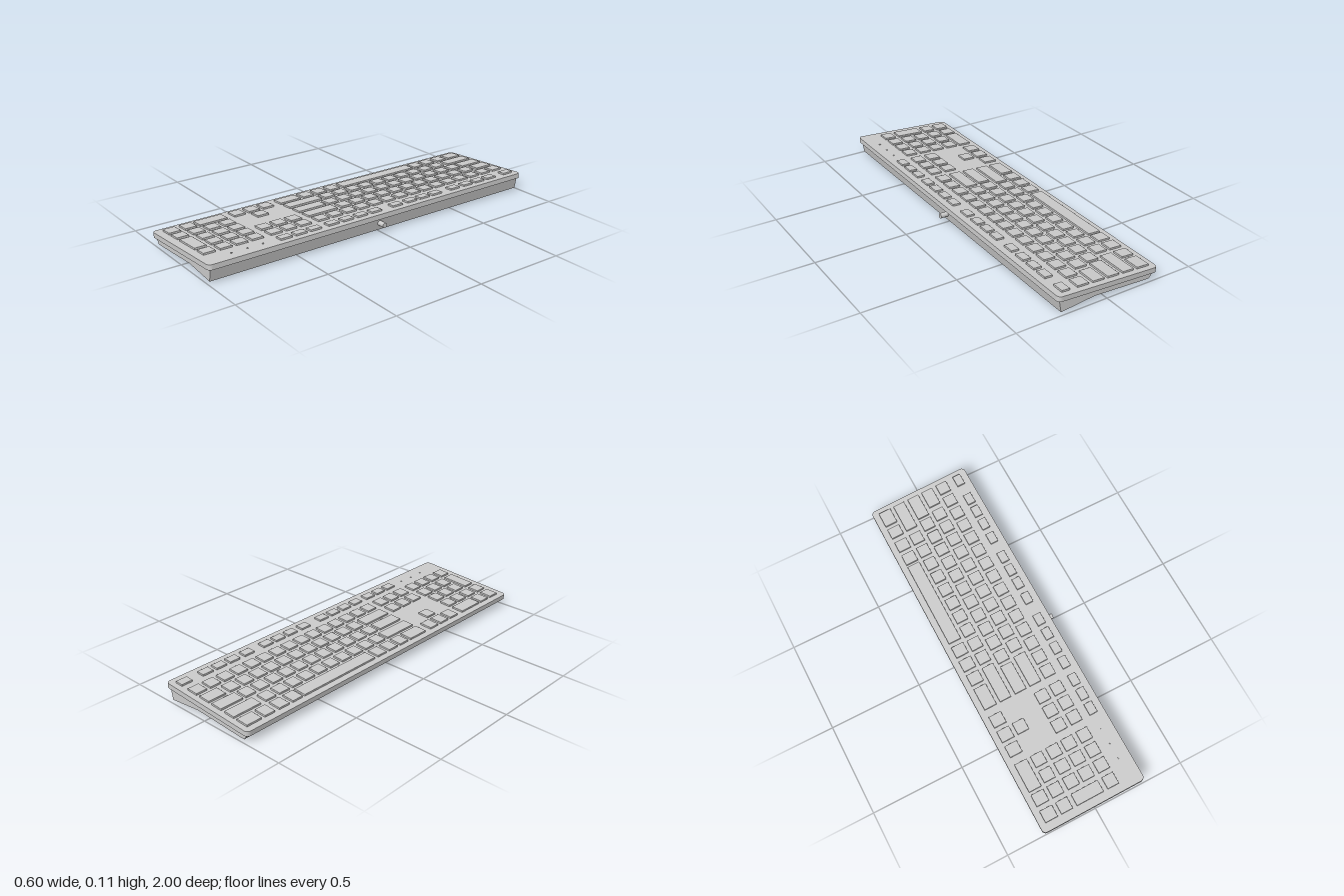
import * as THREE from 'three';
import { RoundedBoxGeometry } from 'three/addons/geometries/RoundedBoxGeometry.js';

const material = new THREE.MeshStandardMaterial({ color: 0xcccccc });
const TILT = 0.061;
const LENGTH = 0.576; // depth of the tilted plate along x

function add(parent, name, geometry, x = 0, y = 0, z = 0) {
  const mesh = new THREE.Mesh(geometry, material);
  mesh.name = name;
  mesh.position.set(x, y, z);
  parent.add(mesh);
  return mesh;
}

// Rounded rectangle outline running from x = 0 to w, centred on y
function roundedRect(w, h, r) {
  const s = new THREE.Shape();
  s.absarc(w - r, h / 2 - r, r, 0, Math.PI / 2);
  s.absarc(r, h / 2 - r, r, Math.PI / 2, Math.PI);
  s.absarc(r, -h / 2 + r, r, Math.PI, Math.PI * 1.5);
  s.absarc(w - r, -h / 2 + r, r, Math.PI * 1.5, Math.PI * 2);
  return s;
}

// A run of equal keys as [start, end] pairs along z
const run = (start, count, step = 0.087, size = 0.065) =>
  Array.from({ length: count }, (_, i) => [start + i * step, start + i * step + size]);

export function createModel() {
  const model = new THREE.Group();
  model.name = 'keyboard';

  // Lower case: arched side profile extruded along z
  const profile = new THREE.Shape([
    [-0.286, 0.042], [-0.26, 0.008], [0.06, 0.027], [0.25, 0.008], [0.263, 0.082], [-0.284, 0.048],
  ].map(([x, y]) => new THREE.Vector2(x, y)));
  const baseGeometry = new THREE.ExtrudeGeometry(profile, { depth: 1.972, bevelEnabled: false });
  add(model, 'lowerCase', baseGeometry, 0, 0, -0.986);

  // Tilted upper assembly; its local y = 0 is the plate's top surface
  const upper = new THREE.Group();
  upper.name = 'upperAssembly';
  upper.position.set(-0.3, 0.067, 0);
  upper.rotation.z = TILT;
  model.add(upper);

  const plate = new THREE.ExtrudeGeometry(roundedRect(LENGTH, 2, 0.022), {
    depth: 0.027, bevelEnabled: false, curveSegments: 8,
  });
  plate.rotateX(Math.PI / 2);
  add(upper, 'topPlate', plate);

  // Key rows: x range and the z ranges of the keys
  const nav = run(0.347, 3);
  const pad = run(0.628, 3);
  const lastColumn = [0.892, 0.957];
  const rows = [
    { name: 'bottomRow', x: [-0.27, -0.2], keys: [[-0.97, -0.88], [-0.86, -0.797], ...run(-0.77, 2),
      [-0.605, -0.104], ...run(-0.08, 3), [0.179, 0.304], ...nav, [0.628, 0.786], [0.802, 0.867], lastColumn] },
    { name: 'shiftRow', x: [-0.18, -0.115], keys: [[-0.97, -0.801], ...run(-0.77, 10),
      [0.098, 0.304], nav[1], ...pad, lastColumn] },
    { name: 'homeRow', x: [-0.092, -0.026], keys: [[-0.97, -0.833], ...run(-0.816, 11), [0.138, 0.304], ...pad] },
    { name: 'upperLetterRow', x: [-0.006, 0.06], keys: [[-0.97, -0.865], ...run(-0.838, 11),
      [0.123, 0.304], ...nav, ...pad] },
    { name: 'padTallKey', x: [-0.092, 0.06], keys: [lastColumn] },
    { name: 'numberRow', x: [0.083, 0.147], keys: [...run(-0.97, 15, 0.0864), ...nav, ...pad, lastColumn] },
    { name: 'functionRow', x: [0.19, 0.235], keys: [[-0.97, -0.905],
      ...run(-0.84, 3), [-0.57, -0.505], ...run(-0.44, 3), [-0.168, -0.103], ...run(-0.03, 4, 0.09), ...nav] },
  ];
  for (const { name, x, keys } of rows) {
    const row = new THREE.Group();
    row.name = name;
    upper.add(row);
    for (const [z0, z1] of keys) {
      add(row, 'key', new RoundedBoxGeometry(x[1] - x[0], 0.014, z1 - z0, 1, 0.0015),
        (x[0] + x[1]) / 2 + 0.304, 0.0025, (z0 + z1) / 2);
    }
  }

  // Three small indicator lights above the number pad
  for (const z of [0.672, 0.758, 0.845]) {
    add(upper, 'indicatorLight', new THREE.CylinderGeometry(0.005, 0.005, 0.005, 12), 0.514, 0.001, z);
  }

  // Cable stub at the back edge
  const cable = new THREE.CylinderGeometry(0.0135, 0.0135, 0.06, 24);
  cable.rotateZ(Math.PI / 2);
  add(model, 'cableStub', cable, 0.269, 0.047, 0);

  // Domed feet at the four corners
  const foot = new THREE.SphereGeometry(0.009, 16, 10);
  for (const x of [-0.241, 0.232]) {
    for (const z of [-0.96, 0.96]) add(model, 'foot', foot, x, 0.009, z);
  }
  return model;
}
